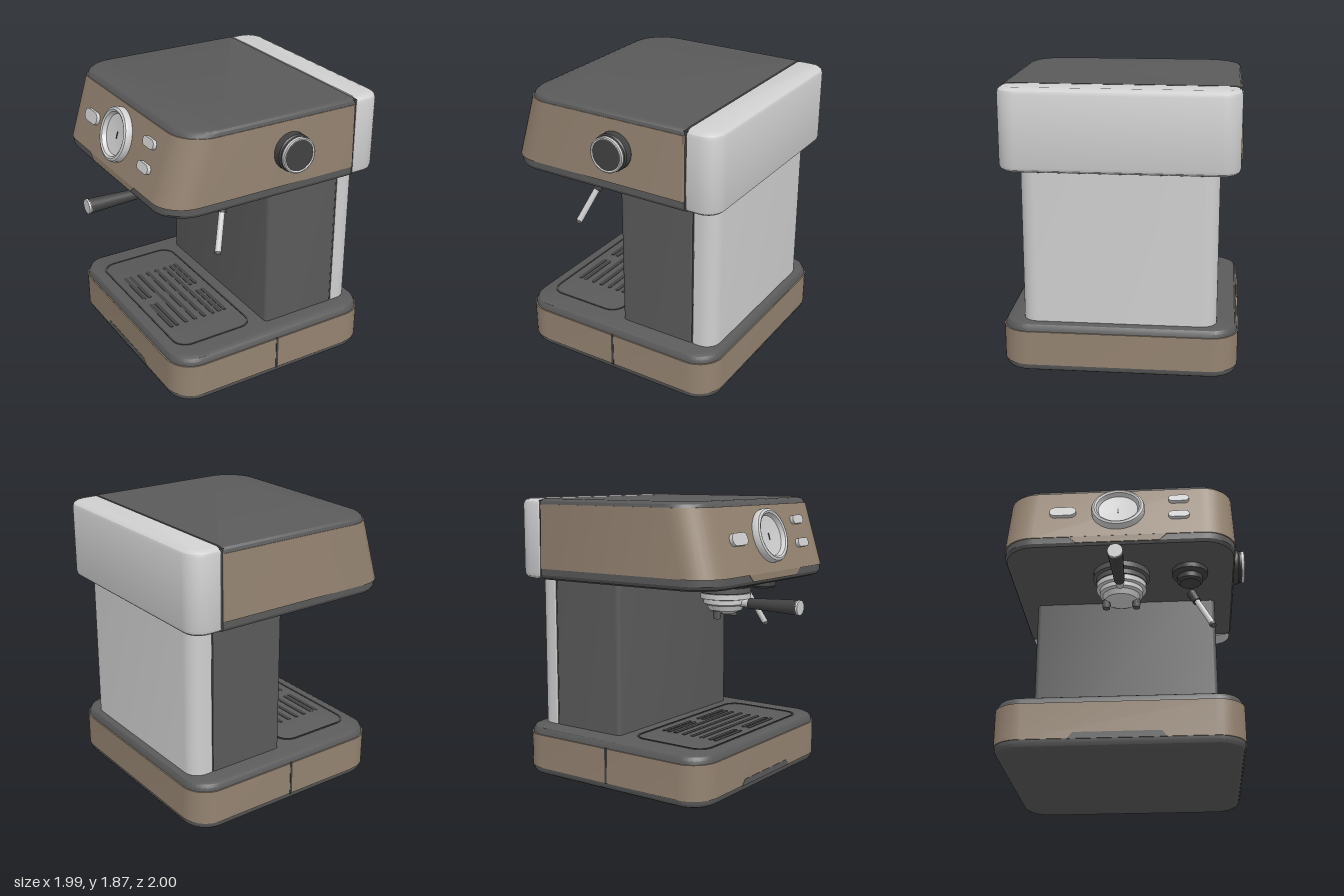
import * as THREE from 'three';
import { toCreasedNormals } from 'three/addons/utils/BufferGeometryUtils.js';

const material = (name, color) => Object.assign(new THREE.MeshStandardMaterial({ color }), { name });

// Stack of rounded-rectangle sections: [y, halfWidth, back, front, backRadius, frontRadius]
function loft(sections, steps = 8) {
  const pos = [], idx = [];
  for (const [y, w, back, front, rb, rf] of sections) {
    for (let q = 0; q < 4; q++) {
      const r = q < 2 ? rf : rb;
      const cx = (q === 0 || q === 3 ? 1 : -1) * (w - r);
      const cz = q < 2 ? front - r : back + r;
      for (let i = 0; i <= steps; i++) {
        const a = (q + i / steps) * Math.PI / 2;
        pos.push(cx + r * Math.cos(a), y, cz + r * Math.sin(a));
      }
    }
  }
  const n = 4 * (steps + 1), last = (sections.length - 1) * n;
  for (let s = 0; s < last; s += n) {
    for (let i = 0; i < n; i++) {
      const j = (i + 1) % n;
      idx.push(s + i, s + n + i, s + j, s + j, s + n + i, s + n + j);
    }
  }
  for (let i = 1; i < n - 1; i++) {
    idx.push(i, i + 1, 0);
    idx.push(last, last + i + 1, last + i);
  }
  const g = new THREE.BufferGeometry();
  g.setAttribute('position', new THREE.Float32BufferAttribute(pos, 3));
  g.setIndex(idx);
  return toCreasedNormals(g, 0.45);
}

// Turned shape from [radius, height] pairs, bottom to top
function turned(points, segments = 36) {
  const g = new THREE.LatheGeometry(points.map(p => new THREE.Vector2(...p)), segments);
  return toCreasedNormals(g, 0.6);
}

// Flat pill outline, extruded along z
function pill(halfW, halfH, depth) {
  const s = new THREE.Shape();
  s.absarc(halfW - halfH, 0, halfH, -Math.PI / 2, Math.PI / 2);
  s.absarc(-halfW + halfH, 0, halfH, Math.PI / 2, Math.PI * 1.5);
  return new THREE.ExtrudeGeometry(s, { depth, bevelEnabled: false, curveSegments: 10 });
}

// Flat trapezoid plate facing +z
function trapezoid(bottom, top, h) {
  const s = new THREE.Shape([[-bottom, 0], [bottom, 0], [top, h], [-top, h]].map(p => new THREE.Vector2(...p)));
  return new THREE.ExtrudeGeometry(s, { depth: 0.006, bevelEnabled: false });
}

export function createModel() {
  const dark = material('dark grey', 0x5a5a5a);
  const charcoal = material('charcoal', 0x424242);
  const taupe = material('taupe', 0x948371);
  const light = material('light grey', 0xcfcfcf);

  const model = new THREE.Group();
  model.name = 'coffeeMachine';
  const body = new THREE.Group();
  body.name = 'body';
  body.rotation.y = -THREE.MathUtils.degToRad(32);
  model.add(body);

  const add = (name, geometry, mat, x = 0, y = 0, z = 0, parent = body) => {
    const m = new THREE.Mesh(geometry, mat);
    m.name = name;
    m.position.set(x, y, z);
    parent.add(m);
    return m;
  };
  const rod = (name, a, b, r0, r1, mat) => {
    const p = new THREE.Vector3(...a), q = new THREE.Vector3(...b);
    const m = add(name, new THREE.CylinderGeometry(r1, r0, p.distanceTo(q), 20), mat);
    m.position.copy(p).lerp(q, 0.5);
    m.quaternion.setFromUnitVectors(new THREE.Vector3(0, 1, 0), q.sub(p).normalize());
    return m;
  };

  // Base
  const slab = (y, inset, r = 0.18) => [y, 0.77 - inset, -0.75 + inset, 0.745 - inset, r - inset, r - inset];
  add('baseFoot', loft([slab(0, 0.04), slab(0.012, 0.018), slab(0.03, 0.008), slab(0.052, 0.006)]), dark);
  add('baseBand', loft([slab(0.052, 0), slab(0.282, 0)]), taupe);
  add('baseTop', loft([slab(0.28, 0.008), slab(0.305, 0.012), slab(0.325, 0.025), slab(0.336, 0.05)]), dark);
  add('baseSeam', new THREE.BoxGeometry(1.546, 0.235, 0.016), charcoal, 0, 0.167, 0);
  add('baseTab', trapezoid(0.3, 0.265, 0.04), dark, 0, 0.05, 0.741);

  // Drip tray: raised rim and slots
  const rim = new THREE.Shape(), hole = new THREE.Path();
  const outline = (p, w, a, b, r) => {
    p.absarc(w - r, b - r, r, 0, Math.PI / 2);
    p.absarc(-w + r, b - r, r, Math.PI / 2, Math.PI);
    p.absarc(-w + r, a + r, r, Math.PI, Math.PI * 1.5);
    p.absarc(w - r, a + r, r, Math.PI * 1.5, Math.PI * 2);
  };
  outline(rim, 0.6, 0.08, 0.65, 0.1);
  outline(hole, 0.588, 0.092, 0.638, 0.09);
  rim.holes.push(hole);
  const rimMesh = add('trayRim', new THREE.ExtrudeGeometry(rim, { depth: 0.005, bevelEnabled: false }), charcoal, 0, 0.341, 0);
  rimMesh.rotation.x = Math.PI / 2;
  const slot = (x, z, halfW) => {
    add('traySlot', pill(halfW, 0.014, 0.004), charcoal, x, 0.335, z).rotation.x = -Math.PI / 2;
  };
  for (let i = 0; i < 4; i++) slot(0, 0.25 + i * 0.07, 0.36);
  for (const z of [0.16, 0.2, 0.53, 0.57]) for (const side of [-1, 1]) slot(side * 0.2, z, 0.16);

  // Column and lower part of the water tank
  add('column', loft([[0.33, 0.63, -0.53, 0.005, 0.01, 0.03], [1.35, 0.63, -0.53, 0.005, 0.01, 0.03]]), dark);
  add('columnSeam', loft([[0.33, 0.622, -0.545, -0.52, 0.005, 0.005], [1.35, 0.622, -0.545, -0.52, 0.005, 0.005]]), charcoal);
  add('columnBack', loft([[0.33, 0.63, -0.69, -0.54, 0.1, 0.01], [1.36, 0.63, -0.69, -0.54, 0.1, 0.01]]), light);

  // Head, with a front that leans back
  const head = (y, w, front) => [y, w, -0.545, front, 0.01, 0.21];
  add('headUnderside', loft([head(1.338, 0.725, 0.755), head(1.35, 0.75, 0.78), head(1.37, 0.76, 0.79), head(1.412, 0.76, 0.79)]), dark);
  add('headShell', loft([head(1.412, 0.766, 0.795), head(1.832, 0.757, 0.67)]), taupe);
  add('headCap', loft([head(1.832, 0.753, 0.664), head(1.852, 0.748, 0.655), head(1.864, 0.737, 0.642), head(1.869, 0.72, 0.625)]), dark);
  add('headSeam', loft([[1.35, 0.748, -0.565, -0.53, 0.01, 0.01], [1.86, 0.745, -0.565, -0.53, 0.01, 0.01]]), charcoal);
  add('headTab', trapezoid(0.27, 0.32, 0.045), taupe, 0, 1.368, 0.788);

  // Water tank
  const tank = (y, i) => [y, 0.755 - i, -0.762 + i, -0.557, 0.12 - i, 0.01];
  add('waterTank', loft([tank(1.338, 0.045), tank(1.346, 0.022), tank(1.36, 0.006), tank(1.38, 0),
    tank(1.83, 0), tank(1.85, 0.007), tank(1.862, 0.022), tank(1.869, 0.045)]), light);

  // Front controls
  const panel = new THREE.Group();
  panel.name = 'controlPanel';
  panel.position.set(0, 1.625, 0.73);
  panel.rotation.x = -Math.atan2(0.125, 0.42);
  body.add(panel);
  const gauge = turned([[0.175, -0.01], [0.177, 0.03], [0.17, 0.045], [0.155, 0.052], [0.142, 0.045], [0.13, 0.018], [0.06, 0.01], [0, 0.01]], 48);
  add('gauge', gauge, light, 0, 0.01, 0, panel).rotation.x = Math.PI / 2;
  add('gaugeNeedle', new THREE.BoxGeometry(0.008, 0.045, 0.004), charcoal, 0, 0.005, 0.012, panel);
  for (const [x, y, w, h] of [[-0.365, 0.005, 0.088, 0.04], [0.4, 0.1, 0.068, 0.029], [0.4, -0.058, 0.068, 0.029]])
    add('button', pill(w, h, 0.03), light, x, y, -0.005, panel);

  // Side knob
  const knob = new THREE.Group();
  knob.name = 'sideKnob';
  knob.position.set(0.755, 1.635, -0.06);
  knob.rotation.z = -Math.PI / 2;
  body.add(knob);
  add('knobBody', turned([[0.122, 0], [0.122, 0.055], [0.114, 0.065], [0.114, 0.09], [0, 0.09]]), charcoal, 0, 0, 0, knob);
  add('knobRing', turned([[0.115, 0.082], [0.115, 0.098], [0.108, 0.102], [0.1, 0.098], [0.1, 0.09]]), light, 0, 0, 0, knob);
  add('knobFace', new THREE.CylinderGeometry(0.1, 0.1, 0.006, 36), charcoal, 0, 0.093, 0, knob);

  // Brew group and filter holder
  add('brewGroup', turned([[0.15, 1.245], [0.17, 1.255], [0.17, 1.29], [0.19, 1.3], [0.19, 1.345]]), dark, 0, 0, 0.41);
  add('filterHolder', turned([[0, 1.11], [0.06, 1.11], [0.11, 1.135], [0.125, 1.17], [0.145, 1.18], [0.145, 1.21], [0.168, 1.215], [0.168, 1.25], [0, 1.25]]), light, 0, 0, 0.41);
  for (const side of [-1, 1])
    add('spout', new THREE.CylinderGeometry(0.028, 0.024, 0.055, 16), dark, side * 0.1, 1.11, 0.41);
  add('spoutBridge', new THREE.BoxGeometry(0.22, 0.025, 0.05), dark, 0, 1.13, 0.41);
  rod('handleNeck', [0, 1.19, 0.5], [0, 1.19, 0.62], 0.026, 0.026, light);
  rod('handle', [0, 1.19, 0.6], [0, 1.19, 0.965], 0.034, 0.05, charcoal);
  rod('handleEnd', [0, 1.19, 0.96], [0, 1.19, 0.976], 0.05, 0.048, light);

  // Steam outlet and wand
  add('steamOutlet', turned([[0, 1.24], [0.07, 1.24], [0.085, 1.255], [0.085, 1.29], [0.12, 1.305], [0.12, 1.345]]), charcoal, 0.46, 0, 0.43);
  rod('wandArm', [0.49, 1.345, 0.11], [0.473, 1.26, 0.245], 0.018, 0.02, dark);
  add('wandJoint', new THREE.SphereGeometry(0.034, 20, 14), charcoal, 0.473, 1.26, 0.245);
  rod('wandGrip', [0.473, 1.26, 0.245], [0.505, 1.185, 0.274], 0.032, 0.028, charcoal);
  rod('steamWand', [0.5, 1.2, 0.27], [0.602, 0.968, 0.362], 0.02, 0.021, light);
  rod('wandTip', [0.598, 0.975, 0.359], [0.606, 0.957, 0.366], 0.023, 0.02, dark);

  return model;
}
